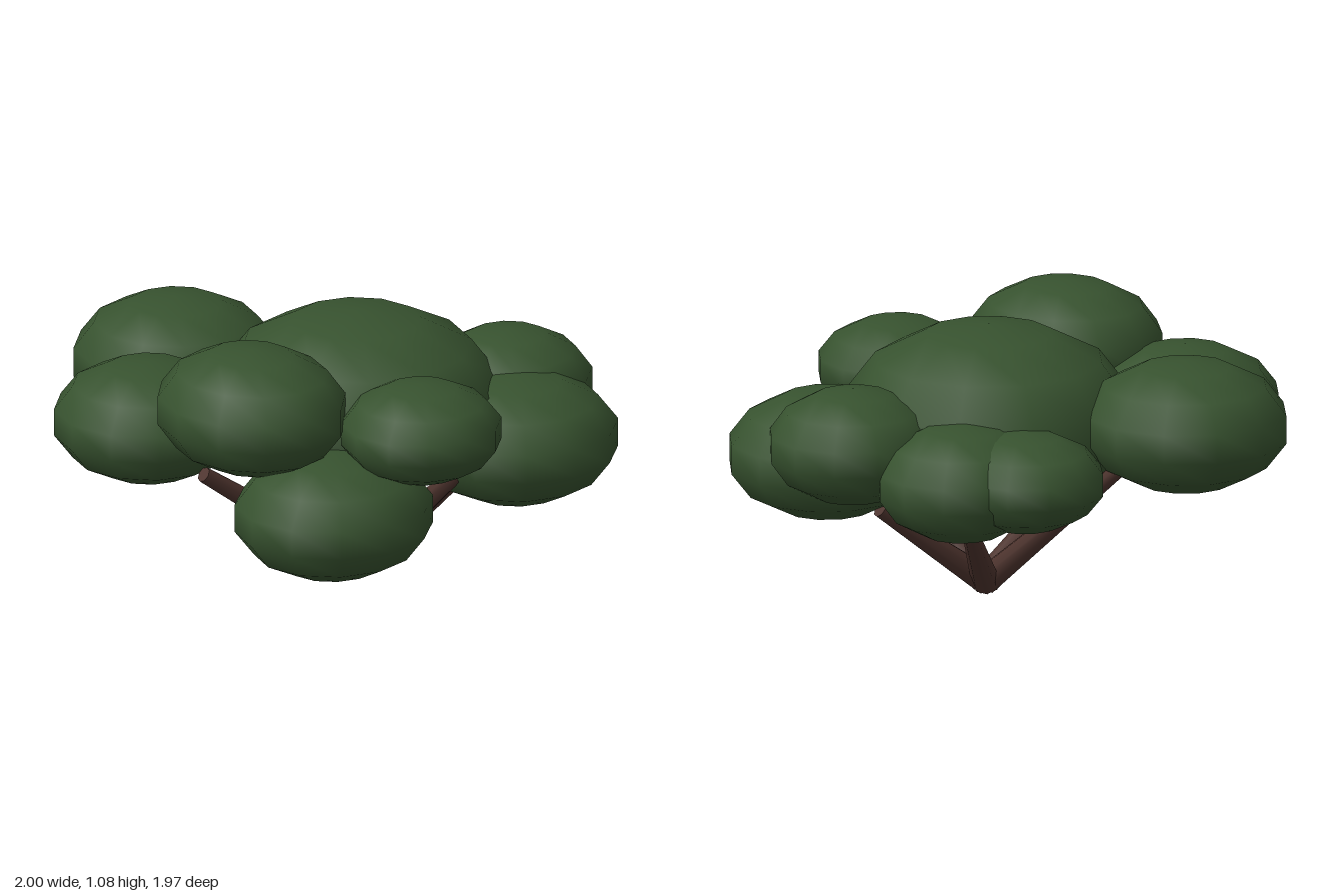
import * as THREE from 'three';

export function createModel() {
  const tree = new THREE.Group();
  tree.name = 'tree';
  const leafGreen = new THREE.MeshStandardMaterial({ color: 0x37522f });
  leafGreen.name = 'leafGreen';
  const barkBrown = new THREE.MeshStandardMaterial({ color: 0x4e342e });
  barkBrown.name = 'barkBrown';

  // Foliage: flattened low-resolution spheres, [name, centre, radii]
  const puff = new THREE.SphereGeometry(1, 12, 7);
  const foliage = [
    ['crownFoliage', [0.07, 0.695, 0.11], [0.56, 0.355, 0.56]],
    ['backFoliage', [-0.25, 0.72, -0.6], [0.4, 0.25, 0.4]],
    ['rightSideFoliage', [-0.64, 0.665, -0.25], [0.37, 0.23, 0.37]],
    ['upperRightFoliage', [-0.54, 0.835, 0.265], [0.355, 0.24, 0.395]],
    ['frontRightFoliage', [-0.35, 0.45, 0.53], [0.395, 0.24, 0.37]],
    ['frontFoliage', [-0.05, 0.76, 0.68], [0.315, 0.19, 0.31]],
    ['frontLeftFoliage', [0.52, 0.565, 0.52], [0.4, 0.245, 0.385]],
    ['leftSideFoliage', [0.67, 0.67, 0.26], [0.335, 0.22, 0.325]],
    ['backLeftFoliage', [0.41, 0.59, -0.37], [0.31, 0.19, 0.32]],
    ['innerLeftFoliage', [0.53, 0.575, -0.17], [0.34, 0.225, 0.33]],
  ];
  for (const [name, centre, radii] of foliage) {
    const mesh = new THREE.Mesh(puff, leafGreen);
    mesh.name = name;
    mesh.position.set(...centre);
    mesh.scale.set(...radii);
    tree.add(mesh);
  }

  // Branches: tapered cylinders fanning out from one root point
  const root = new THREE.Vector3(0.065, 0.04, 0.13);
  const up = new THREE.Vector3(0, 1, 0);
  const branches = [
    ['frontBranch', [0.2, 0.59, 0.67]],
    ['leftBranch', [0.53, 0.39, 0.25]],
    ['backLeftBranch', [0.5, 0.38, -0.18]],
    ['backBranch', [-0.01, 0.57, -0.48]],
    ['rightBranch', [-0.62, 0.53, 0.07]],
  ];
  for (const [name, end] of branches) {
    const dir = new THREE.Vector3(...end).sub(root);
    const length = dir.length();
    const mesh = new THREE.Mesh(new THREE.CylinderGeometry(0.03, 0.055, length, 8), barkBrown);
    mesh.name = name;
    mesh.position.copy(root).addScaledVector(dir, 0.5);
    mesh.quaternion.setFromUnitVectors(up, dir.normalize());
    tree.add(mesh);
  }
  return tree;
}
